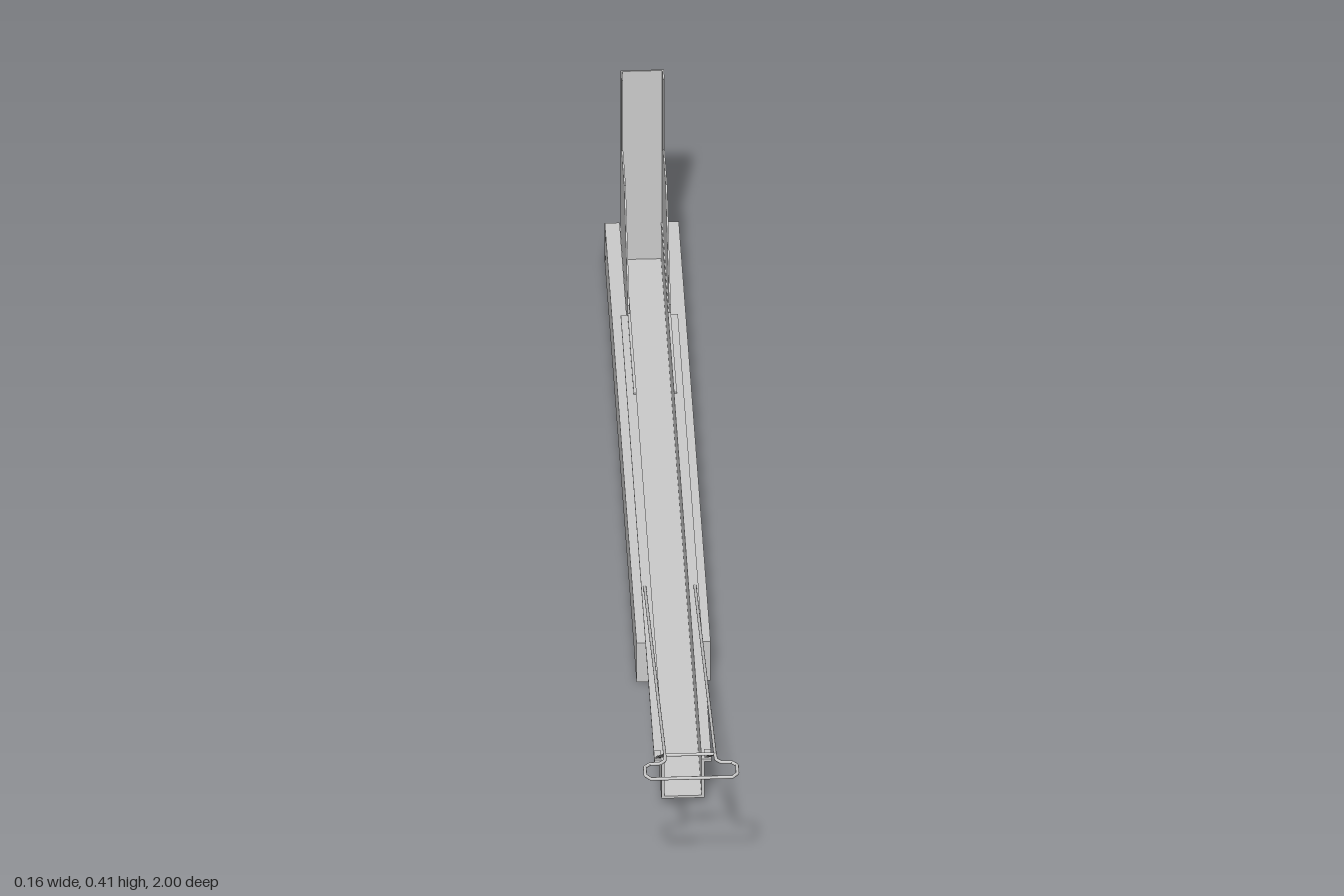
import * as THREE from 'three';

const material = new THREE.MeshStandardMaterial({ color: 0xcccccc, side: THREE.DoubleSide });

function add(parent, name, geometry, x = 0, y = 0, z = 0) {
  const mesh = new THREE.Mesh(geometry, material);
  mesh.name = name;
  mesh.position.set(x, y, z);
  parent.add(mesh);
  return mesh;
}

// Box given by its lower and upper corners
function block(parent, name, [x0, y0, z0], [x1, y1, z1]) {
  return add(parent, name, new THREE.BoxGeometry(x1 - x0, y1 - y0, z1 - z0),
    (x0 + x1) / 2, (y0 + y1) / 2, (z0 + z1) / 2);
}

function polygon(points) {
  return new THREE.Shape(points.map(([x, y]) => new THREE.Vector2(x, y)));
}

function punch(shape, centres, radius) {
  for (const [x, y] of centres) {
    const hole = new THREE.Path();
    hole.absarc(x, y, radius, 0, Math.PI * 2, true);
    shape.holes.push(hole);
  }
  return shape;
}

const extrude = (shape, depth) =>
  new THREE.ExtrudeGeometry(shape, { depth, bevelEnabled: false, curveSegments: 8 });

// Plate drawn in (z, y) and given a thickness along x
function sidePlate(parent, name, shape, x, thickness) {
  const mesh = add(parent, name, extrude(shape, thickness), x + thickness / 2);
  mesh.rotation.y = -Math.PI / 2;
  return mesh;
}

// Straight round rod between two points
function rod(parent, name, a, b, radius) {
  const from = new THREE.Vector3(...a), to = new THREE.Vector3(...b);
  const mesh = add(parent, name, new THREE.CylinderGeometry(radius, radius, from.distanceTo(to), 10));
  mesh.position.copy(from).lerp(to, 0.5);
  mesh.quaternion.setFromUnitVectors(new THREE.Vector3(0, 1, 0), to.sub(from).normalize());
}

export function createModel() {
  const model = new THREE.Group();
  model.name = 'slidingRailStand';

  // Outer housing: bottom, bored sides, top lips and closed front ends
  const housing = new THREE.Group();
  housing.name = 'outerHousing';
  model.add(housing);
  block(housing, 'housingFloor', [-0.0635, 0, -1], [0.0635, 0.003, 0.27]);
  for (const s of [-1, 1]) {
    const wall = polygon([[-1, 0.003], [0.27, 0.003], [0.27, 0.081], [-1, 0.081]]);
    punch(wall, [[-0.98, 0.022], [-0.98, 0.06]], 0.005);
    sidePlate(housing, 'housingSide', wall, s * 0.062, 0.003);
    const lo = Math.min(s * 0.038, s * 0.0605), hi = Math.max(s * 0.038, s * 0.0605);
    block(housing, 'housingTopLip', [lo, 0.078, -1], [hi, 0.081, 0.27]);
    block(housing, 'housingFrontEnd', [lo, 0.003, 0.267], [hi, 0.078, 0.27]);
    // Fasteners between floor and rail
    for (const z of [-0.93, -0.7]) {
      add(housing, 'floorBolt', new THREE.CylinderGeometry(0.004, 0.004, 0.014, 10), s * 0.03, 0.008, z);
    }
  }

  // Recessed rear end plate with bolt holes
  const endPlate = polygon([[-0.06, 0.003], [0.06, 0.003], [0.06, 0.077], [-0.06, 0.077]]);
  punch(endPlate, [[0, 0.022], [0, 0.06]], 0.005);
  add(housing, 'rearEndPlate', extrude(endPlate, 0.003), 0, 0, -0.996);

  // Inner rail: open channel with outward flanges
  const rail = new THREE.Group();
  rail.name = 'innerRail';
  model.add(rail);
  const channel = polygon([[-0.037, 0.095], [-0.037, 0.015], [0.037, 0.015], [0.037, 0.095],
    [0.032, 0.095], [0.032, 0.02], [-0.032, 0.02], [-0.032, 0.095]]);
  add(rail, 'railChannel', extrude(channel, 1.625), 0, 0, -0.98);
  for (const s of [-1, 1]) {
    const lo = Math.min(s * 0.037, s * 0.049), hi = Math.max(s * 0.037, s * 0.049);
    block(rail, 'railFlange', [lo, 0.09, -0.7], [hi, 0.095, 0.645]);
    const x = s * 0.0345;
    block(rail, 'railRaisedEdge', [x - 0.0025, 0.095, -0.7], [x + 0.0025, 0.098, -0.46]);
  }

  // Rear upright: channel open to the front, braced by side gussets
  const upright = new THREE.Group();
  upright.name = 'rearUpright';
  model.add(upright);
  block(upright, 'uprightBack', [-0.037, 0.02, -0.98], [0.037, 0.411, -0.977]);
  const gusset = [[-0.977, 0.02], [-0.7, 0.02], [-0.7, 0.115], [-0.845, 0.265],
    [-0.95, 0.265], [-0.95, 0.411], [-0.977, 0.411]];
  for (const s of [-1, 1]) sidePlate(upright, 'uprightGusset', polygon(gusset), s * 0.0355, 0.003);

  // Front handle: rounded loop carried by two pairs of stays
  const handle = new THREE.Group();
  handle.name = 'frontHandle';
  model.add(handle);
  const y = 0.298;
  const half = [[0.043, 0.925], [0.044, 0.942], [0.052, 0.95], [0.07, 0.951],
    [0.079, 0.96], [0.079, 0.985], [0.07, 0.996]];
  const outline = [...half, ...half.map(([x, z]) => [-x, z]).reverse()];
  const path = new THREE.CurvePath();
  for (let i = 1; i < outline.length; i++) {
    const [a, b] = [outline[i - 1], outline[i]].map(([x, z]) => new THREE.Vector3(x, y, z));
    path.add(new THREE.LineCurve3(a, b));
  }
  add(handle, 'handleLoop', new THREE.TubeGeometry(path, 160, 0.003, 8, false));
  rod(handle, 'handleCrossBar', [-0.045, y, 0.925], [0.045, y, 0.925], 0.0028);
  for (const s of [-1, 1]) {
    const x = s * 0.043;
    rod(handle, 'shortStay', [x, y, 0.925], [x, 0.091, 0.63], 0.0027);
    rod(handle, 'longStay', [x, y, 0.925], [x, 0.094, 0.12], 0.0027);
    block(handle, 'stayFoot', [x - 0.006, 0.088, 0.618], [x + 0.006, 0.097, 0.64]);
  }

  return model;
}
